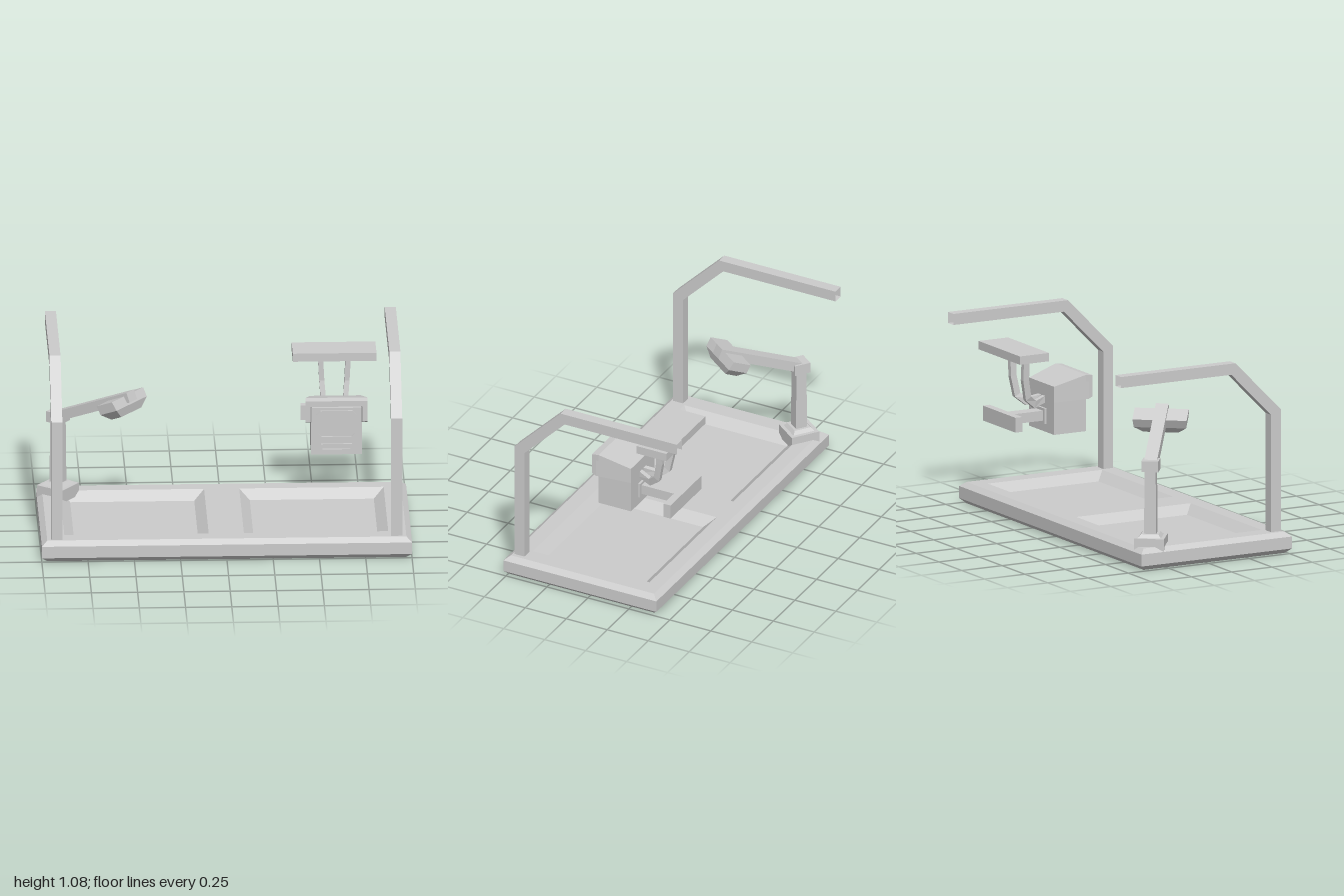
import * as THREE from 'three';

const grey = new THREE.MeshStandardMaterial({ color: 0xcccccc, flatShading: true, side: THREE.DoubleSide });

function add(parent, name, geometry, x = 0, y = 0, z = 0) {
  const mesh = new THREE.Mesh(geometry, grey);
  mesh.name = name;
  mesh.position.set(x, y, z);
  parent.add(mesh);
  return mesh;
}

function addGroup(parent, name, x = 0, y = 0, z = 0) {
  const group = new THREE.Group();
  group.name = name;
  group.position.set(x, y, z);
  parent.add(group);
  return group;
}

const box = (w, h, d) => new THREE.BoxGeometry(w, h, d);

// Flat-faced skin over four-cornered rings, with optional end caps
function loft(rings, capStart = true, capEnd = true) {
  const pos = [];
  const quad = (a, b, c, d) => pos.push(...a, ...b, ...c, ...a, ...c, ...d);
  for (let i = 0; i < rings.length - 1; i++) {
    const p = rings[i], q = rings[i + 1];
    for (let j = 0; j < 4; j++) {
      const k = (j + 1) % 4;
      quad(p[j], p[k], q[k], q[j]);
    }
  }
  if (capStart) quad(...[...rings[0]].reverse());
  if (capEnd) quad(...rings[rings.length - 1]);
  const g = new THREE.BufferGeometry();
  g.setAttribute('position', new THREE.Float32BufferAttribute(pos, 3));
  g.computeVertexNormals();
  return g;
}

// Horizontal rectangle at height y
function rect(x0, x1, z0, z1, y) {
  return [[x0, y, z1], [x1, y, z1], [x1, y, z0], [x0, y, z0]];
}
const square = (w, d, y, x = 0) => rect(x - w / 2, x + w / 2, -d / 2, d / 2, y);

// Upright rectangle at depth z
function frame(x0, x1, y0, y1, z) {
  return [[x0, y0, z], [x1, y0, z], [x1, y1, z], [x0, y1, z]];
}

// Bar with mitred bends following points whose bends lie in the yz plane
function bentBar(points, width, thick, capped) {
  const dir = (a, b) => new THREE.Vector2(b[2] - a[2], b[1] - a[1]).normalize();
  const rings = points.map((p, i) => {
    const d0 = dir(points[Math.max(i - 1, 0)], points[Math.max(i, 1)]);
    const last = points.length - 1;
    const d1 = dir(points[Math.min(i, last - 1)], points[Math.min(i + 1, last)]);
    const m = d0.clone().add(d1).normalize();
    const s = thick / 2 / m.dot(d0);
    const oz = -m.y * s, oy = m.x * s, w = width / 2;
    return [[-w, 1], [w, 1], [w, -1], [-w, -1]].map(([dx, k]) => [p[0] + dx, p[1] + oy * k, p[2] + oz * k]);
  });
  return loft(rings, capped, capped);
}

function roundedRect(w, h, r, Type = THREE.Shape) {
  const s = new Type(), x = w / 2, y = h / 2;
  s.moveTo(-x + r, -y).lineTo(x - r, -y).lineTo(x, -y + r).lineTo(x, y - r);
  s.lineTo(x - r, y).lineTo(-x + r, y).lineTo(-x, y - r).lineTo(-x, -y + r).closePath();
  return s;
}

function buildBase(parent) {
  const base = addGroup(parent, 'base');
  const z0 = -0.418, z1 = 0.516, top = 0.118, floor = 0.07;
  const tier = (inset, y) => rect(-1 + inset, 1 - inset, z0 + inset, z1 - inset, y);
  add(base, 'plinth', loft([tier(0.03, 0), tier(0, 0.027), tier(0, 0.093), tier(0.03, top)], true, false));

  // Deck with an opening for each tray
  const deck = new THREE.Shape();
  deck.moveTo(-0.97, -z1 + 0.03).lineTo(0.97, -z1 + 0.03).lineTo(0.97, -z0 - 0.03).lineTo(-0.97, -z0 - 0.03);
  for (const s of [-1, 1]) {
    const x0 = s < 0 ? -0.875 : 0.095, x1 = x0 + 0.78;
    const hole = new THREE.Path();
    hole.moveTo(x0, -0.4).lineTo(x0, 0.31).lineTo(x1, 0.31).lineTo(x1, -0.4).closePath();
    deck.holes.push(hole);
    const b = 0.055;
    add(base, s < 0 ? 'rightTray' : 'leftTray', loft([
      rect(x0, x1, -0.31, 0.4, top),
      rect(x0 + b, x1 - b, -0.31 + b, 0.4 - b, floor),
    ], false, true));
  }
  add(base, 'deck', new THREE.ShapeGeometry(deck).rotateX(-Math.PI / 2), 0, top, 0);
}

function buildLamp(parent) {
  const lamp = addGroup(parent, 'lamp', -0.885, 0, -0.295);
  lamp.rotation.y = -0.645;
  add(lamp, 'lampFoot', box(0.164, 0.072, 0.164), 0, 0.126, 0);
  add(lamp, 'lampCollar', loft([square(0.125, 0.125, 0.162), square(0.095, 0.095, 0.18)]));
  add(lamp, 'lampColumn', loft([square(0.066, 0.066, 0.17), square(0.06, 0.06, 0.54)]));
  add(lamp, 'elbow', box(0.092, 0.06, 0.092), 0, 0.553, 0);

  // Raised arm carrying the lamp head
  const arm = addGroup(lamp, 'lampArm', 0, 0.555, 0);
  arm.rotation.z = 0.41;
  add(arm, 'armBar', box(0.53, 0.055, 0.07), 0.265, 0, 0);
  add(arm, 'lampHead', loft([
    square(0.07, 0.19, -0.085, 0.455),
    square(0.115, 0.285, -0.04, 0.455),
    square(0.11, 0.295, 0.012, 0.45),
  ]));
}

function buildConsole(parent) {
  const unit = addGroup(parent, 'console', 0.607, 0, 0);
  add(unit, 'housing', box(0.273, 0.266, 0.199), 0, 0.577, -0.0285);

  // Flared hood: roof and two cheeks around the screen
  add(unit, 'hoodRoof', loft([
    frame(-0.137, 0.137, 0.68, 0.71, -0.128),
    frame(-0.167, 0.167, 0.725, 0.763, 0.054),
    frame(-0.167, 0.167, 0.725, 0.757, 0.094),
  ]));
  for (const s of [-1, 1]) {
    add(unit, s < 0 ? 'rightCheek' : 'leftCheek', loft([
      frame(s * 0.11, s * 0.137, 0.622, 0.7, -0.128),
      frame(s * 0.135, s * 0.167, 0.628, 0.745, 0.07),
      frame(s * 0.14, s * 0.167, 0.64, 0.745, 0.094),
    ]));
  }

  // Screen surround and slot
  const surround = roundedRect(0.216, 0.158, 0.022);
  surround.holes.push(roundedRect(0.194, 0.136, 0.016, THREE.Path));
  add(unit, 'screenSurround', new THREE.ExtrudeGeometry(surround, { depth: 0.012, bevelEnabled: false }), 0, 0.617, 0.07);
  const slot = roundedRect(0.172, 0.038, 0.002);
  slot.holes.push(roundedRect(0.154, 0.022, 0.002, THREE.Path));
  add(unit, 'slotFrame', new THREE.ExtrudeGeometry(slot, { depth: 0.013, bevelEnabled: false }), 0, 0.488, 0.07);

  // Rear mount
  add(unit, 'mountFlange', box(0.11, 0.085, 0.014), 0, 0.533, -0.134);
  add(unit, 'mountArm', box(0.075, 0.055, 0.22), 0, 0.533, -0.24);
  add(unit, 'mountPlate', box(0.357, 0.082, 0.043), 0, 0.534, -0.37);

  // Upper shelf on two splayed struts
  add(unit, 'shelf', box(0.452, 0.046, 0.182), 0, 0.9, -0.3);
  for (const s of [-1, 1]) {
    add(unit, s < 0 ? 'rightStrut' : 'leftStrut', bentBar([
      [s * 0.022, 0.625, -0.12], [s * 0.045, 0.605, -0.2], [s * 0.06, 0.645, -0.25],
      [s * 0.068, 0.75, -0.27], [s * 0.075, 0.885, -0.268],
    ], 0.028, 0.036, true));
  }
}

export function createModel() {
  const model = new THREE.Group();
  model.name = 'workstation';
  buildBase(model);

  // Bent side posts, hollow at the rear end
  for (const s of [-1, 1]) {
    const x = s * 0.918;
    add(model, s < 0 ? 'rightPost' : 'leftPost', bentBar([
      [x, 0.11, 0.445], [x, 0.779, 0.445], [x, 1.0445, 0.1815], [x, 1.0445, -0.516],
    ], 0.06, 0.061, false));
  }

  buildLamp(model);
  buildConsole(model);
  return model;
}
